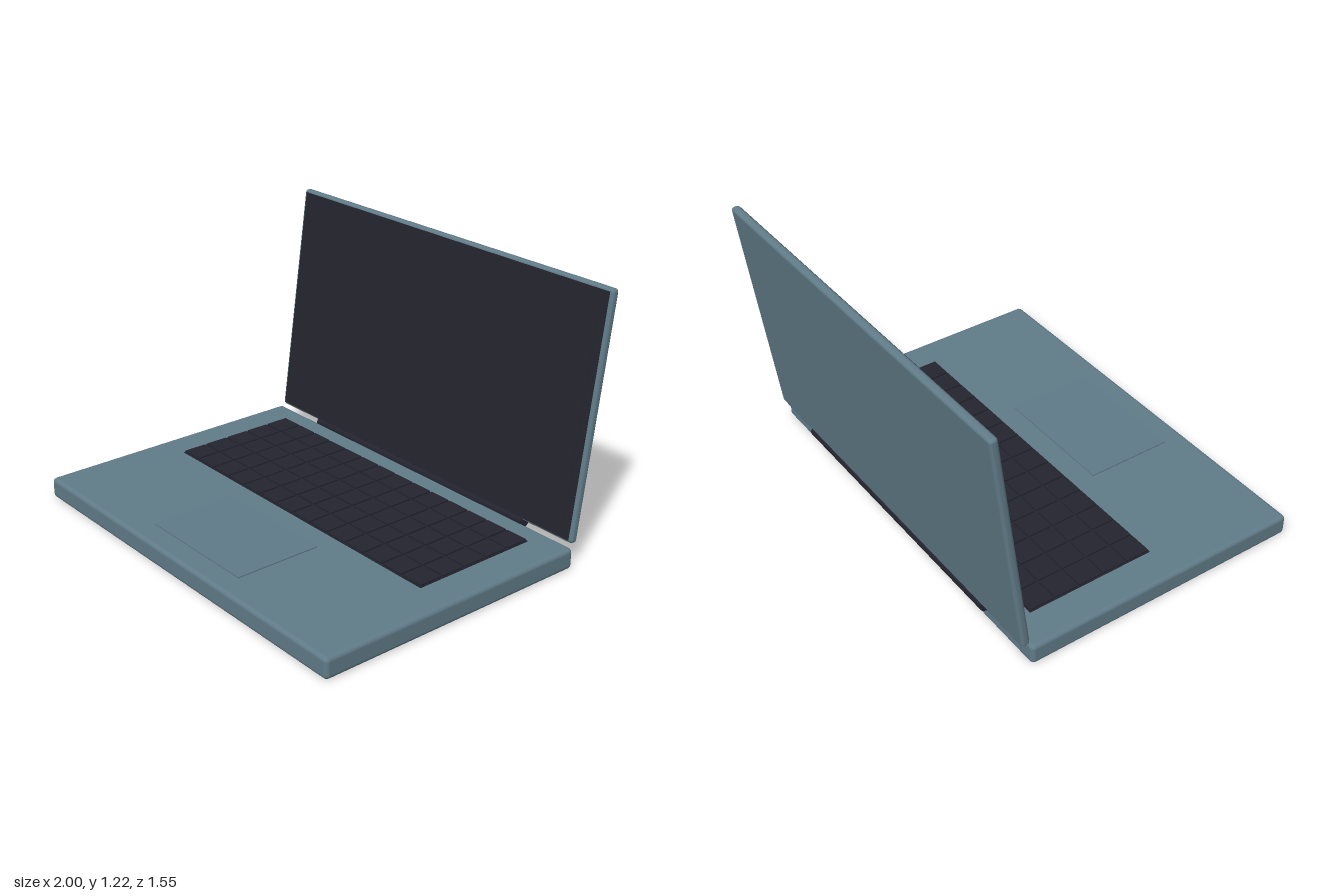
import * as THREE from 'three';
import { RoundedBoxGeometry } from 'three/addons/geometries/RoundedBoxGeometry.js';

const casing = new THREE.MeshStandardMaterial({ name: 'blue grey casing', color: 0x607b88 });
const padGrey = new THREE.MeshStandardMaterial({ name: 'trackpad grey', color: 0x5f7a89 });
const dark = new THREE.MeshStandardMaterial({ name: 'dark plastic', color: 0x24242f });

function add(parent, name, geometry, material, x, y, z) {
  const mesh = new THREE.Mesh(geometry, material);
  mesh.name = name;
  mesh.position.set(x, y, z);
  parent.add(mesh);
  return mesh;
}

export function createModel() {
  const laptop = new THREE.Group();
  laptop.name = 'laptop';

  // Base slab with softened edges
  add(laptop, 'base', new RoundedBoxGeometry(2, 0.098, 1.363, 3, 0.02), casing, 0, 0.049, 0.0935);

  // Keyboard: a thin tray carrying five rows of keys
  const keyboard = new THREE.Group();
  keyboard.name = 'keyboard';
  laptop.add(keyboard);
  const width = 1.67, depth = 0.624, rows = 5, columns = 14, centreZ = -0.169;
  add(keyboard, 'keyTray', new THREE.BoxGeometry(width, 0.004, depth), dark, 0, 0.099, centreZ);
  const pitchX = width / columns, pitchZ = depth / rows;
  const keyShape = new THREE.BoxGeometry(pitchX - 0.01, 0.009, pitchZ - 0.01);
  for (let r = 0; r < rows; r++) {
    for (let c = 0; c < columns; c++) {
      const x = (c + 0.5) * pitchX - width / 2;
      const z = centreZ + (r + 0.5) * pitchZ - depth / 2;
      add(keyboard, 'key', keyShape, dark, x, 0.1045, z);
    }
  }

  // Trackpad
  add(laptop, 'trackpad', new THREE.BoxGeometry(0.61, 0.006, 0.415), padGrey, 0, 0.1, 0.4575);

  // Lid pivots on the hinge and leans back
  const lid = new THREE.Group();
  lid.name = 'lid';
  lid.position.set(0, 0.1, -0.603);
  lid.rotation.x = -0.134;
  laptop.add(lid);
  add(lid, 'lidShell', new RoundedBoxGeometry(1.974, 1.12, 0.04, 3, 0.016), casing, 0, 0.568, 0);
  add(lid, 'bezel', new THREE.BoxGeometry(1.94, 1.094, 0.004), dark, 0, 0.567, 0.02);
  add(lid, 'display', new THREE.BoxGeometry(1.86, 1.0, 0.002), dark, 0, 0.572, 0.0225);

  // Hinge barrel
  const barrel = new THREE.CylinderGeometry(0.029, 0.029, 1.4, 24);
  barrel.rotateZ(Math.PI / 2);
  add(laptop, 'hinge', barrel, dark, 0, 0.1, -0.603);

  return laptop;
}
